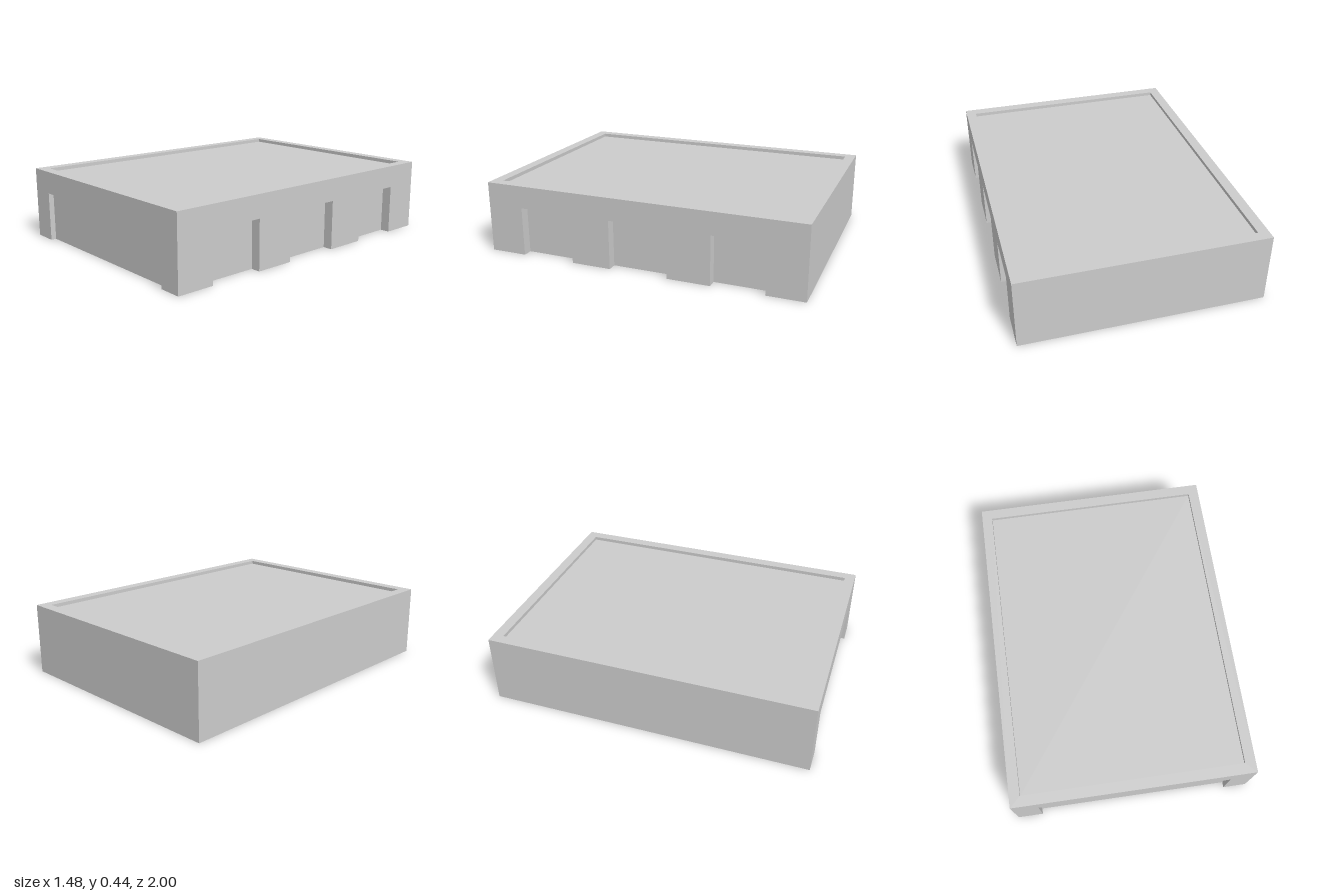
import * as THREE from 'three';

const W = 1.48, H = 0.445, L = 2;          // overall width, height, length
const NOTCH_TOP = 0.305;
const mat = new THREE.MeshStandardMaterial({ color: 0xcccccc, side: THREE.DoubleSide, flatShading: true });

function add(parent, name, geometry) {
  const mesh = new THREE.Mesh(geometry, mat);
  mesh.name = name;
  parent.add(mesh);
  return mesh;
}

// Thin wall in the XY plane facing +z; each [from, to] is a doorway sunk in by depth.
function wall(name, length, doorways, depth) {
  const group = new THREE.Group();
  group.name = name;
  const outline = [[-length / 2, 0]];
  for (const [a, b] of doorways) outline.push([a, 0], [a, NOTCH_TOP], [b, NOTCH_TOP], [b, 0]);
  outline.push([length / 2, 0], [length / 2, H], [-length / 2, H]);
  const shape = new THREE.Shape(outline.map(([x, y]) => new THREE.Vector2(x, y)));
  add(group, 'wallSheet', new THREE.ShapeGeometry(shape));

  for (const [a, b] of doorways) {
    const w = b - a, mid = (a + b) / 2, h = NOTCH_TOP;
    add(group, 'doorPanel', new THREE.PlaneGeometry(w, h)).position.set(mid, h / 2, -depth);
    const jamb = new THREE.PlaneGeometry(depth, h).rotateY(Math.PI / 2);
    add(group, 'jamb', jamb).position.set(a, h / 2, -depth / 2);
    add(group, 'jamb', jamb.clone().rotateY(Math.PI)).position.set(b, h / 2, -depth / 2);
    const lintel = new THREE.PlaneGeometry(w, depth).rotateX(Math.PI / 2);
    add(group, 'lintel', lintel).position.set(mid, h, -depth / 2);
  }
  return group;
}

// Flat roof: a rim around a slightly sunken panel, joined by a narrow lip.
function roof() {
  const group = new THREE.Group();
  group.name = 'roof';
  const x = 0.675, z0 = -0.935, z1 = 0.935, sink = 0.022;
  const rect = (hx, a, b) => [[-hx, a], [hx, a], [hx, b], [-hx, b]].map(([u, v]) => new THREE.Vector2(u, v));
  const rim = new THREE.Shape(rect(W / 2, -L / 2, L / 2));
  rim.holes.push(new THREE.Path(rect(x, z0, z1)));
  add(group, 'roofRim', new THREE.ShapeGeometry(rim).rotateX(-Math.PI / 2)).position.y = H;

  const panel = new THREE.PlaneGeometry(2 * x, z1 - z0).rotateX(-Math.PI / 2);
  add(group, 'roofPanel', panel).position.y = H - sink;

  for (const s of [-1, 1]) {
    const side = new THREE.PlaneGeometry(z1 - z0, sink).rotateY(-s * Math.PI / 2);
    add(group, 'sideLip', side).position.set(s * x, H - sink / 2, 0);
    const end = new THREE.PlaneGeometry(2 * x, sink).rotateY(s > 0 ? Math.PI : 0);
    add(group, 'endLip', end).position.set(0, H - sink / 2, s * z1);
  }
  return group;
}

export function createModel() {
  const model = new THREE.Group();
  model.name = 'lowBuilding';

  // Front with one wide gate
  const front = wall('frontWall', W, [[-0.585, 0.597]], 0.033);
  front.position.z = L / 2;

  // Left side with three doorways
  const left = wall('leftWall', L, [[-0.77, -0.43], [-0.18, 0.185], [0.45, 0.77]], 0.06);
  left.rotation.y = Math.PI / 2;
  left.position.x = W / 2;

  // Plain back and right side
  const back = wall('backWall', W, [], 0);
  back.rotation.y = Math.PI;
  back.position.z = -L / 2;
  const right = wall('rightWall', L, [], 0);
  right.rotation.y = -Math.PI / 2;
  right.position.x = -W / 2;

  model.add(front, left, back, right, roof());
  return model;
}
